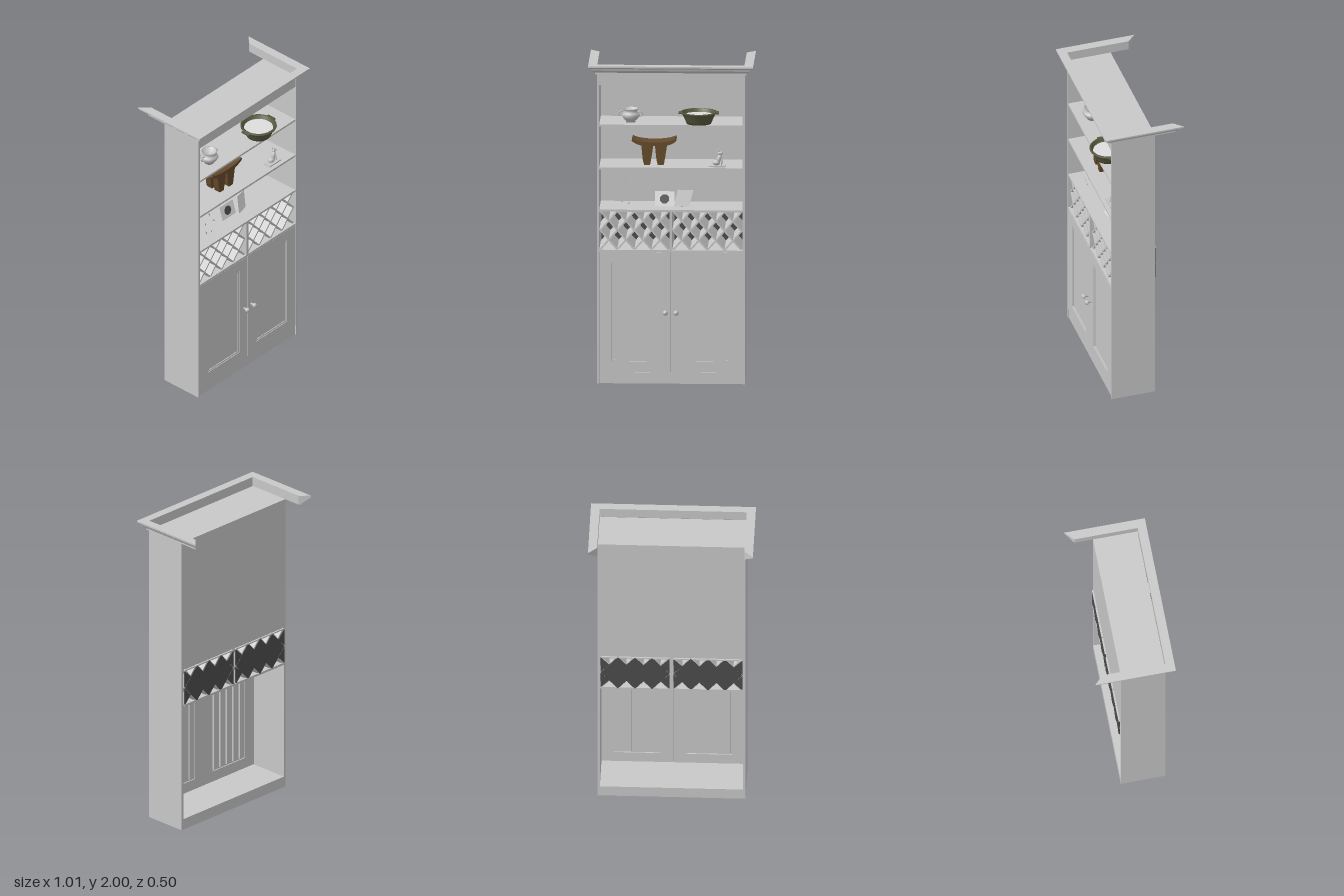
import * as THREE from 'three';

const mat = (name, color, side = THREE.FrontSide) => {
  const m = new THREE.MeshStandardMaterial({ color, side });
  m.name = name;
  return m;
};

export function createModel() {
  const root = new THREE.Group();
  root.name = 'displayCabinet';
  const paint = mat('paintedWood', 0xc8c8c8);
  const dark = mat('darkGrey', 0x4c4c4c, THREE.DoubleSide);
  const metal = mat('silver', 0xc4c4c4, THREE.DoubleSide);
  const olive = mat('oliveGlaze', 0x5b5c40, THREE.DoubleSide);
  const pale = mat('paleFilling', 0xdedede);
  const brown = mat('brownWood', 0x654a2b);

  const add = (name, geo, material, x = 0, y = 0, z = 0, parent = root) => {
    const m = new THREE.Mesh(geo, material);
    m.name = name;
    m.position.set(x, y, z);
    parent.add(m);
    return m;
  };
  // box given by its limits
  const box = (name, x0, x1, y0, y1, z0, z1, material = paint, parent = root) =>
    add(name, new THREE.BoxGeometry(x1 - x0, y1 - y0, z1 - z0), material,
      (x0 + x1) / 2, (y0 + y1) / 2, (z0 + z1) / 2, parent);
  const polygon = pts => new THREE.Shape(pts.map(p => new THREE.Vector2(...p)));
  const extrude = (shape, depth) =>
    new THREE.ExtrudeGeometry(shape, { depth, bevelEnabled: false, curveSegments: 10 });
  const lathe = (pts, n = 20) => new THREE.LatheGeometry(pts.map(p => new THREE.Vector2(...p)), n);
  const group = (name, x, y, z) => {
    const g = new THREE.Group();
    g.name = name;
    g.position.set(x, y, z);
    root.add(g);
    return g;
  };

  // Carcass
  for (const s of [-1, 1])
    box('sidePanel', s < 0 ? -0.455 : 0.44, s < 0 ? -0.44 : 0.455, 0, 1.94, -0.085, 0.195);
  box('base', -0.44, 0.44, 0, 0.07, -0.085, 0.187);
  box('topPanel', -0.44, 0.44, 1.925, 1.94, -0.085, 0.193);
  box('header', -0.44, 0.44, 1.87, 1.925, 0.175, 0.193);
  box('backPanel', -0.44, 0.44, 1.075, 1.925, -0.085, -0.075);
  for (const y of [0.825, 1.077, 1.342, 1.61])
    box('shelf', -0.44, 0.44, y, y + 0.013, -0.085, 0.192);

  // Crown moulding: one profile swept round three sides with mitred ends
  const profile = [[0, 1.94], [0.012, 1.94], [0.012, 1.952], [0.022, 1.957], [0.032, 1.968],
    [0.036, 1.98], [0.05, 1.984], [0.055, 1.99], [0.055, 2], [0, 2]];
  const path = [[-1, -0.2, -1], [-1, 0.195, 1], [1, 0.195, 1], [1, -0.2, -1]];
  const rings = path.map(([sx, z, sz]) =>
    profile.map(([o, y]) => [sx * (0.452 + o), y, z + sz * o]));
  const tri = [];
  for (let i = 0; i < 3; i++) {
    for (let j = 0; j < profile.length; j++) {
      const k = (j + 1) % profile.length;
      const [a, b, c, d] = [rings[i][j], rings[i + 1][j], rings[i + 1][k], rings[i][k]];
      tri.push(...a, ...b, ...c, ...a, ...c, ...d);
    }
  }
  for (let j = 1; j < profile.length - 1; j++) {
    tri.push(...rings[0][0], ...rings[0][j], ...rings[0][j + 1]);
    tri.push(...rings[3][0], ...rings[3][j + 1], ...rings[3][j]);
  }
  const crown = new THREE.BufferGeometry();
  crown.setAttribute('position', new THREE.Float32BufferAttribute(tri, 3));
  crown.computeVertexNormals();
  add('crownMoulding', crown, paint);

  // Doors: frame, recessed panel with battens behind, and a knob
  for (const s of [-1, 1]) {
    const door = group(s < 0 ? 'rightDoor' : 'leftDoor', s * 0.22, 0, 0);
    const frame = polygon([[-0.219, 0.072], [0.219, 0.072], [0.219, 0.825], [-0.219, 0.825]]);
    frame.holes.push(polygon([[-0.143, 0.14], [-0.143, 0.755], [0.143, 0.755], [0.143, 0.14]]));
    add('doorFrame', extrude(frame, 0.02), paint, 0, 0, 0.173, door);
    box('doorPanel', -0.143, 0.143, 0.14, 0.755, 0.18, 0.184, paint, door);
    const bead = polygon([[-0.143, 0.14], [0.143, 0.14], [0.143, 0.755], [-0.143, 0.755]]);
    bead.holes.push(polygon([[-0.132, 0.15], [-0.132, 0.745], [0.132, 0.745], [0.132, 0.15]]));
    add('panelBead', extrude(bead, 0.005), paint, 0, 0, 0.184, door);
    for (let i = 0; i < 5; i++) {
      const x = -0.114 + i * 0.057;
      box('backBatten', x - 0.02, x + 0.02, 0.15, 0.745, 0.169, 0.18, paint, door);
    }
    const knob = add('knob', lathe([[0, 0], [0.007, 0], [0.007, 0.016], [0.015, 0.022],
      [0.016, 0.03], [0.01, 0.039], [0, 0.041]], 16), metal, -s * 0.187, 0.45, 0.193, door);
    knob.rotation.x = Math.PI / 2;
  }

  // Bottle rack: crossed slats clipped to each bay, dark plates closing whole cells
  const y0 = 0.838, y1 = 1.077, px = 0.105, py = 0.12, yc = (y0 + y1) / 2;
  box('rackDivider', -0.008, 0.008, y0, y1, -0.085, 0.192);
  for (const s of [-1, 1]) {
    const rack = group(s < 0 ? 'rightRack' : 'leftRack', s * 0.224, 0, 0);
    const hw = 0.213, slope = py / px;
    for (const d of [-1, 1]) {
      for (let i = -4; i <= 4; i++) {
        const xc = i * px;
        const ends = [y0, y1].map(y => {
          const x = THREE.MathUtils.clamp(xc + d * (y - yc) / slope, -hw, hw);
          return [x, yc + d * (x - xc) * slope];
        });
        const [a, b] = ends;
        const len = Math.hypot(b[0] - a[0], b[1] - a[1]);
        if (len < 0.02) continue;
        const slat = add('rackSlat', new THREE.BoxGeometry(len, 0.01, 0.27), paint,
          (a[0] + b[0]) / 2, (a[1] + b[1]) / 2, 0.045, rack);
        slat.rotation.z = Math.atan2(b[1] - a[1], b[0] - a[0]);
      }
    }
    const cell = extrude(polygon([[px / 2, 0], [0, py / 2], [-px / 2, 0], [0, -py / 2]]), 0.008);
    for (let r = -1; r <= 1; r++) {
      const n = r === 0 ? 4 : 3;
      for (let c = 0; c < n; c++)
        add('cellBack', cell, dark, (c - (n - 1) / 2) * px, yc + r * py / 2, -0.095, rack);
      // half cells at the sides
      if (r !== 0) for (const e of [-1, 1])
        add('sideCellBack', extrude(polygon(e > 0
          ? [[0, 0.055], [-px / 2, 0], [0, -0.055]] : [[0, -0.055], [px / 2, 0], [0, 0.055]]), 0.008),
        dark, e * 0.212, yc + r * py / 2, -0.095, rack);
    }
    for (const y of [y0, y1 - 0.008]) box('rackRail', -hw, hw, y, y + 0.008, -0.095, -0.085, paint, rack);
  }

  // Silver urn
  const urn = group('urn', -0.25, 1.623, 0.1);
  add('urnBody', lathe([[0, 0], [0.03, 0], [0.028, 0.008], [0.045, 0.022], [0.057, 0.042],
    [0.05, 0.056], [0.036, 0.066], [0.046, 0.08], [0.049, 0.085], [0.044, 0.085], [0.032, 0.066], [0, 0.06]]),
  metal, 0, 0, 0, urn);
  for (const s of [-1, 1])
    add('urnHandle', new THREE.TorusGeometry(0.014, 0.004, 6, 14), metal, s * 0.058, 0.052, 0, urn);

  // Olive bowl with rim lugs and pale filling
  const bowl = group('bowl', 0.17, 1.623, 0.13);
  add('bowlBody', lathe([[0, 0], [0.075, 0], [0.084, 0.02], [0.103, 0.062], [0.112, 0.066],
    [0.112, 0.073], [0.098, 0.073], [0.076, 0.01], [0, 0.008]], 28), olive, 0, 0, 0, bowl);
  add('bowlFilling', new THREE.CylinderGeometry(0.09, 0.086, 0.006, 28), pale, 0, 0.05, 0, bowl);
  for (const s of [-1, 1])
    box('bowlLug', s * 0.112 - 0.012, s * 0.112 + 0.012, 0.062, 0.071, -0.03, 0.03, olive, bowl);

  // Carved stool: saddle seat on four tapering legs
  const stool = group('stool', -0.107, 1.355, 0.06);
  const seat = new THREE.Shape();
  seat.moveTo(-0.137, 0.152);
  seat.quadraticCurveTo(-0.11, 0.128, -0.07, 0.122);
  seat.lineTo(0.07, 0.122);
  seat.quadraticCurveTo(0.11, 0.128, 0.137, 0.152);
  seat.lineTo(0.132, 0.165);
  seat.quadraticCurveTo(0.09, 0.143, 0, 0.143);
  seat.quadraticCurveTo(-0.09, 0.143, -0.132, 0.165);
  add('stoolSeat', extrude(seat, 0.12), brown, 0, 0, -0.06, stool);
  for (const sx of [-1, 1]) for (const sz of [-1, 1]) {
    const leg = extrude(polygon([[-0.018, 0], [0.018, 0], [0.024, 0.03], [0.038, 0.125], [-0.036, 0.125],
      [-0.026, 0.03]]), 0.042);
    add('stoolLeg', leg, brown, sx * 0.042, 0, sz * 0.032 - 0.021, stool);
  }

  // Seated animal figurine
  const figure = group('figurine', 0.29, 1.355, 0.14);
  box('figurineBase', -0.055, 0.045, 0, 0.007, -0.025, 0.025, metal, figure);
  const ball = (name, r, x, y, z, sx, sy, sz, tilt = 0) => {
    const m = add(name, new THREE.SphereGeometry(r, 12, 8), metal, x, y, z, figure);
    m.scale.set(sx, sy, sz);
    m.rotation.z = tilt;
  };
  ball('haunch', 0.02, -0.012, 0.024, 0, 1.2, 0.85, 0.9);
  ball('torso', 0.017, 0.003, 0.046, 0, 0.85, 1.9, 0.8, -0.3);
  ball('head', 0.013, 0.012, 0.083, 0, 1.3, 0.85, 0.9);
  for (const s of [-1, 1]) {
    ball('ear', 0.006, 0.006, 0.097, s * 0.007, 0.7, 1.6, 0.5);
    ball('foreleg', 0.007, 0.02, 0.028, s * 0.008, 0.7, 3, 0.7);
  }

  // Two leaning picture frames
  const frameA = group('pictureFrame', -0.043, 1.09, 0.08);
  frameA.rotation.x = -0.3;
  box('frameBoard', -0.06, 0.06, 0, 0.093, -0.004, 0, pale, frameA);
  add('picture', new THREE.CylinderGeometry(0.03, 0.03, 0.002, 8).rotateX(Math.PI / 2).rotateZ(Math.PI / 8),
    dark, 0, 0.046, 0.001, frameA);
  const frameB = group('turnedFrame', 0.06, 1.09, 0.09);
  frameB.rotation.set(-0.3, 0.3, 0);
  add('frameBoard', extrude(polygon([[-0.048, 0], [0.048, 0], [0.075, 0.104], [-0.022, 0.104]]), 0.004),
    pale, 0, 0, 0, frameB);

  // Faceted ornament reduced to a few slivers
  const ornament = group('ornament', -0.28, 1.09, 0.125);
  for (const [x, y, r] of [[0, 0.165, 0.3], [-0.035, 0.11, -0.5], [0.04, 0.1, 0.9], [-0.025, 0.04, 0.6], [0.02, 0.03, -0.6]]) {
    const sliver = add('sliver', extrude(polygon([[-0.004, -0.016], [0.006, -0.004], [0, 0.018]]), 0.002),
      metal, x, y, 0, ornament);
    sliver.rotation.z = r;
  }
  return root;
}
